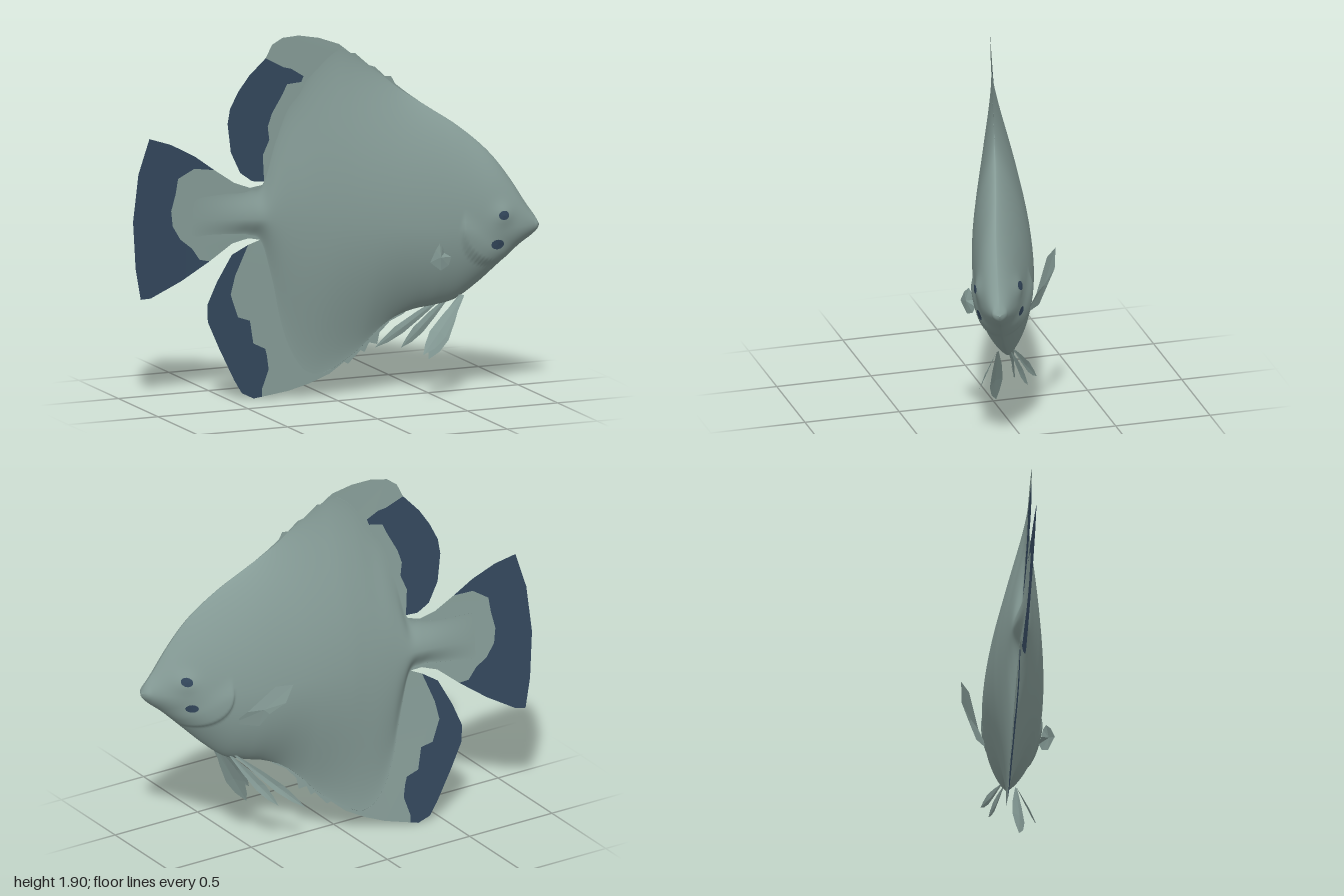
import * as THREE from 'three';

const pale = new THREE.MeshStandardMaterial({ color: 0x869c97, side: THREE.DoubleSide });
pale.name = 'grey green skin';
const dark = new THREE.MeshStandardMaterial({ color: 0x33475c, side: THREE.DoubleSide });
dark.name = 'dark blue';

// Smooth curve through [x, value] pairs
function curve(pairs) {
  const f = new THREE.CubicInterpolant(
    new Float32Array(pairs.map(p => p[0])), new Float32Array(pairs.map(p => p[1])), 1);
  return x => f.evaluate(x)[0];
}

// The swimming bend of the middle plane, with a slight roll
const bend = curve([[-1, -0.315], [-0.6, -0.217], [-0.2, -0.11], [0, -0.05], [0.3, 0.04],
  [0.6, 0.135], [0.8, 0.207], [1, 0.27]]);
const midZ = (x, y) => bend(x) + 0.07 * (y - 0.95);

// Body outline and half thickness along x; the body fades into the upright fins
const top = curve([[-0.7, 1.1], [-0.5, 1.09], [-0.42, 1.1], [-0.35, 1.14], [-0.3, 1.36], [-0.25, 1.52],
  [-0.18, 1.63], [-0.1, 1.77], [0, 1.835], [0.08, 1.79], [0.2, 1.7], [0.3, 1.615], [0.45, 1.51], [0.6, 1.405],
  [0.75, 1.265], [0.85, 1.13], [0.93, 1.0], [0.985, 0.915], [0.998, 0.885]]);
const bottom = curve([[-0.7, 0.85], [-0.5, 0.86], [-0.42, 0.86], [-0.35, 0.81], [-0.3, 0.6], [-0.25, 0.36],
  [-0.18, 0.18], [-0.1, 0.11], [0, 0.14], [0.08, 0.195], [0.15, 0.255], [0.22, 0.335], [0.3, 0.405],
  [0.4, 0.45], [0.5, 0.47], [0.6, 0.5], [0.7, 0.58], [0.8, 0.68], [0.9, 0.78], [0.985, 0.855], [0.998, 0.875]]);
const thick = curve([[-0.7, 0.001], [-0.55, 0.014], [-0.4, 0.036], [-0.3, 0.055], [-0.1, 0.1], [0, 0.122],
  [0.3, 0.157], [0.5, 0.16], [0.7, 0.135], [0.8, 0.11], [0.9, 0.075], [0.96, 0.046], [0.985, 0.03],
  [0.998, 0.004]]);
const centre = x => THREE.MathUtils.lerp(0.95, 0.89, THREE.MathUtils.smoothstep(x, -0.4, 0.9));
const rightShift = 0.045; // the right side of the head sits a little further forward

// Half thickness of the body at x, y on one side, with eye bulge and gill cover
function half(x, y, side) {
  const c = centre(x), v = y > c ? (y - c) / (top(x) - c) : (c - y) / (c - bottom(x));
  const s2 = Math.max(0, 1 - v * v);
  const power = THREE.MathUtils.lerp(1.9, 0.75, THREE.MathUtils.smoothstep(x, -0.15, 0.5));
  const hx = side < 0 ? x - rightShift : x;
  const eye = 0.016 * Math.exp(-((hx - 0.78) ** 2 + (y - 0.96) ** 2) / 0.003);
  const r = Math.hypot(hx - 0.76, y - 0.89);
  const gill = 0.016 * (1 - THREE.MathUtils.smoothstep(r, 0.18, 0.2)) *
    THREE.MathUtils.smoothstep(r, 0.02, 0.18) *
    THREE.MathUtils.smoothstep((0.76 - hx) + 1.5 * (0.89 - y), 0.04, 0.2);
  return thick(x) * s2 ** power + (eye + gill) * Math.sqrt(s2);
}

function bodyGeometry(nx = 200, na = 96) {
  const pos = [], idx = [];
  for (let i = 0; i <= nx; i++) {
    const x = -0.7 + 1.698 * Math.sin((i / nx) * Math.PI / 2 * 0.9) / Math.sin(Math.PI / 2 * 0.9);
    const c = centre(x);
    for (let j = 0; j < na; j++) {
      const a = (j / na) * Math.PI * 2, k = Math.cos(a), side = Math.sign(Math.sin(a));
      const y = c + k * (k > 0 ? top(x) - c : c - bottom(x));
      pos.push(x, y, midZ(x, y) + side * half(x, y, side));
      if (i === nx) continue;
      const p = i * na + j, q = i * na + (j + 1) % na;
      idx.push(p, q, p + na, q, q + na, p + na);
    }
  }
  const g = new THREE.BufferGeometry();
  g.setAttribute('position', new THREE.Float32BufferAttribute(pos, 3));
  g.setIndex(idx);
  g.computeVertexNormals();
  return g;
}

// Thin fin cut from an x, y outline and laid on the middle plane
function plate(points) {
  const g = new THREE.ShapeGeometry(new THREE.Shape(points.map(p => new THREE.Vector2(...p))));
  const p = g.attributes.position;
  for (let i = 0; i < p.count; i++) p.setZ(i, midZ(p.getX(i), p.getY(i)));
  g.computeVertexNormals();
  return g;
}

// Fan of triangles over a ring of 3D points
function fan(ring, hub) {
  const pos = [];
  ring.forEach((p, i) => pos.push(...hub, ...p, ...ring[(i + 1) % ring.length]));
  const g = new THREE.BufferGeometry();
  g.setAttribute('position', new THREE.Float32BufferAttribute(pos, 3));
  g.computeVertexNormals();
  return g;
}

// Spot following the skin on one side
function spot(cx, cy, rx, ry, side) {
  const at = (x, y) => [x, y, midZ(x, y) + side * (half(x, y, side) + 0.005)];
  const ring = [];
  for (let i = 0; i < 12; i++) {
    const a = i / 12 * Math.PI * 2;
    ring.push(at(cx + rx * Math.cos(a), cy + ry * Math.sin(a)));
  }
  return fan(ring, at(cx, cy));
}

// Pointed leaf from root to tip, folded slightly along its spine
function leaf(root, tip, width) {
  const r = new THREE.Vector3(...root), t = new THREE.Vector3(...tip), w = new THREE.Vector3(...width);
  const at = (u, k) => r.clone().lerp(t, u).addScaledVector(w, k).toArray();
  const ring = [at(0, 0.15), at(0.35, 0.7), at(0.65, 1), at(0.85, 0.7), at(1, 0),
    at(0.85, -0.5), at(0.65, -0.9), at(0.35, -0.7), at(0, -0.15)];
  const hub = at(0.6, 0);
  hub[2] += 0.008;
  return fan(ring, hub);
}

export function createModel() {
  const model = new THREE.Group();
  const add = (name, geometry, material) => {
    const m = new THREE.Mesh(geometry, material);
    m.name = name;
    model.add(m);
  };
  add('body', bodyGeometry(), pale);

  // Dorsal fin, with a ragged front edge
  const dorsalLine = [[-0.36, 1.79], [-0.27, 1.74], [-0.23, 1.73], [-0.17, 1.69], [-0.18, 1.66], [-0.25, 1.65],
    [-0.27, 1.6], [-0.32, 1.5], [-0.34, 1.43], [-0.33, 1.36], [-0.36, 1.28], [-0.35, 1.14]];
  add('dorsalFin', plate([...dorsalLine, [-0.3, 1.14], [-0.1, 1.3], [0.2, 1.45], [0.42, 1.45], [0.42, 1.53],
    [0.34, 1.59], [0.28, 1.64], [0.26, 1.68], [0.23, 1.68], [0.18, 1.73], [0.15, 1.74], [0.08, 1.805],
    [0.06, 1.805], [0, 1.855], [-0.1, 1.89], [-0.2, 1.905], [-0.28, 1.895], [-0.33, 1.86]]), pale);
  add('dorsalFinEdge', plate([...dorsalLine, [-0.41, 1.145], [-0.47, 1.19], [-0.52, 1.3], [-0.54, 1.45],
    [-0.53, 1.53], [-0.49, 1.62], [-0.44, 1.7]]), dark);

  // Anal fin, ragged below
  const analLine = [[-0.33, 0.008], [-0.33, 0.05], [-0.3, 0.15], [-0.31, 0.22], [-0.32, 0.26], [-0.38, 0.29],
    [-0.4, 0.41], [-0.46, 0.43], [-0.5, 0.55], [-0.48, 0.65], [-0.42, 0.81]];
  add('analFin', plate([...analLine, [-0.35, 0.84], [-0.2, 0.75], [0.1, 0.5], [0.35, 0.5], [0.36, 0.43],
    [0.29, 0.39], [0.24, 0.33], [0.23, 0.27], [0.19, 0.28], [0.17, 0.23], [0.15, 0.24], [0.09, 0.17],
    [0.07, 0.18], [0, 0.12], [-0.1, 0.07], [-0.2, 0.035]]), pale);
  add('analFinEdge', plate([...analLine, [-0.5, 0.76], [-0.57, 0.62], [-0.615, 0.5], [-0.61, 0.41],
    [-0.55, 0.27], [-0.47, 0.1], [-0.43, 0.03], [-0.37, 0]]), dark);

  // Tail fin
  const tailLine = [[-0.6, 1.21], [-0.7, 1.22], [-0.78, 1.17], [-0.79, 1.09], [-0.81, 1.0], [-0.8, 0.92],
    [-0.76, 0.85], [-0.7, 0.8], [-0.66, 0.74], [-0.61, 0.73]];
  add('tailFin', plate([...tailLine, [-0.5, 0.82], [-0.42, 0.845], [-0.33, 0.83], [-0.3, 0.97],
    [-0.33, 1.13], [-0.42, 1.11], [-0.5, 1.14]]), pale);
  add('tailFinEdge', plate([...tailLine, [-0.75, 0.63], [-0.9, 0.545], [-0.95, 0.54], [-0.98, 0.7],
    [-1, 0.95], [-0.98, 1.2], [-0.93, 1.385], [-0.82, 1.35], [-0.7, 1.285]]), dark);

  // Eyes and cheek spots
  add('leftEye', spot(0.778, 0.96, 0.028, 0.024, 1), dark);
  add('leftCheekSpot', spot(0.755, 0.805, 0.036, 0.026, 1), dark);
  add('rightEye', spot(0.778 + rightShift, 0.97, 0.026, 0.024, -1), dark);
  add('rightCheekSpot', spot(0.755 + rightShift, 0.82, 0.028, 0.022, -1), dark);

  // Pectoral fins: left folded back, right spread
  add('leftPectoralFin', fan([[0.385, 0.74, 0.29], [0.42, 0.8, 0.28], [0.45, 0.83, 0.265], [0.47, 0.81, 0.255],
    [0.48, 0.775, 0.25], [0.52, 0.75, 0.25], [0.5, 0.71, 0.26], [0.45, 0.69, 0.275]],
  [0.45, 0.76, 0.28]), pale);
  add('rightPectoralFin', fan([[0.61, 0.72, 0.01], [0.56, 0.8, -0.06], [0.45, 0.95, -0.15],
    [0.385, 0.97, -0.215], [0.42, 0.87, -0.2], [0.48, 0.8, -0.14], [0.51, 0.72, -0.09]],
  [0.5, 0.82, -0.12]), pale);

  // Pelvic fins: a bunch of narrow leaves
  [[[0.56, 0.51, 0.06], [0.27, 0.225, -0.15], [0.018, -0.018, 0.01]],
    [[0.58, 0.51, 0.08], [0.38, 0.23, -0.07], [0.022, -0.014, 0.012]],
    [[0.61, 0.53, 0.16], [0.45, 0.2, 0.12], [0.03, -0.01, 0.045]],
    [[0.62, 0.53, 0.17], [0.39, 0.24, 0.19], [0.035, -0.015, 0.025]],
  ].forEach((l, i) => add('pelvicFinLeaf' + (i + 1), leaf(...l), pale));
  return model;
}
